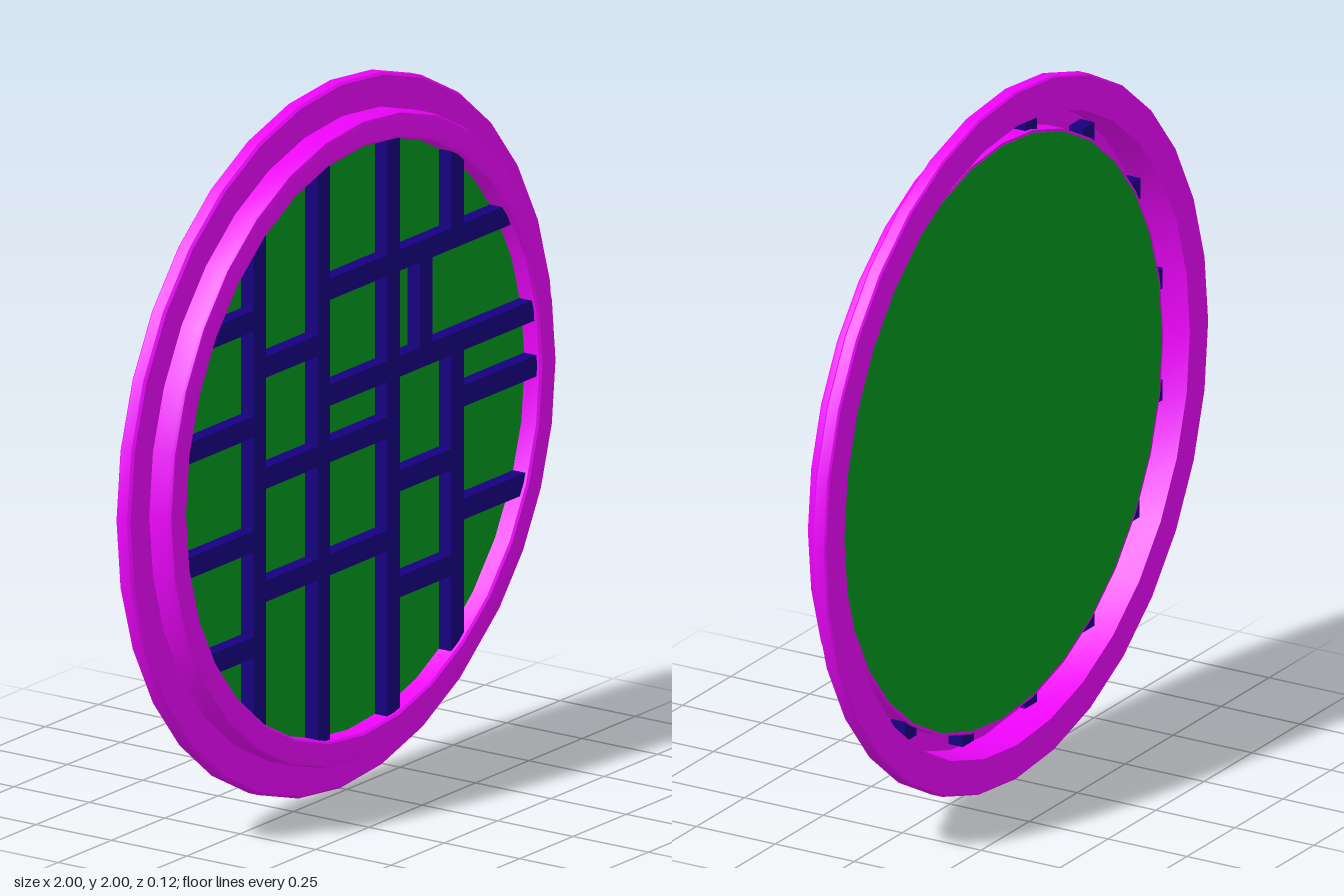
import * as THREE from 'three';
import { toCreasedNormals } from 'three/addons/utils/BufferGeometryUtils.js';

const SIDES = 32;
const BAR = 0.06; // bar width
const REACH = 0.87; // radius at which bars end inside the frame

export function createModel() {
  const group = new THREE.Group();
  const frameMat = new THREE.MeshStandardMaterial({ color: 0xee04fc });
  const paneMat = new THREE.MeshStandardMaterial({ color: 0x009820 });
  const barMat = new THREE.MeshStandardMaterial({ color: 0x160080 });

  const add = (name, geometry, material) => {
    const mesh = new THREE.Mesh(geometry, material);
    mesh.name = name;
    group.add(mesh);
    return mesh;
  };

  // Round frame: wide flange behind, narrower ring in front, hollow at the back
  // with a thin inner sleeve that holds the pane
  const profile = [
    [0.90, -0.06], [0.995, -0.06], [1.0, -0.055], [1.0, -0.022], [0.993, -0.015],
    [0.905, -0.015], [0.905, 0.046], [0.901, 0.055], [0.892, 0.058], [0.836, 0.058],
    [0.83, 0.052], [0.83, -0.012], [0.84, -0.012], [0.84, 0.046], [0.895, 0.046],
    [0.90, -0.06],
  ].map(([r, z]) => new THREE.Vector2(r, z));
  const frame = new THREE.LatheGeometry(profile, SIDES);
  frame.rotateX(Math.PI / 2);
  add('frame', toCreasedNormals(frame, 0.7), frameMat);

  // Round pane
  const pane = new THREE.CylinderGeometry(0.832, 0.832, 0.016, SIDES);
  pane.rotateX(Math.PI / 2);
  add('pane', pane, paneMat).position.z = -0.005;

  // Lattice bars: position across, then start and end (null runs through the sleeve)
  const addBar = (name, at, from, to, vertical) => {
    const edge = Math.sqrt(REACH * REACH - at * at);
    const a = from ?? -edge;
    const b = to ?? edge;
    const size = vertical ? [BAR, b - a] : [b - a, BAR];
    const mesh = add(name, new THREE.BoxGeometry(...size, 0.045), barMat);
    const mid = (a + b) / 2;
    mesh.position.set(vertical ? at : mid, vertical ? mid : at, 0.0215);
  };

  const [x1, x2, x3, x4] = [-0.47, -0.17, 0.157, 0.457];
  const uprights = [
    [x1, null, null], [x2, null, null], [x3, null, null],
    [x4, 0.46, null], [x4, null, 0.16], [0.31, 0.16, 0.46],
  ];
  const rails = [
    [0.46, null, x1], [0.46, x2, null], [0.315, x1, x2],
    [0.16, null, x1], [0.16, x2, null], [0, x1, x3], [0, x4, null],
    [-0.165, null, x1], [-0.165, x3, x4], [-0.32, x1, x3], [-0.32, x4, null],
    [-0.465, null, x1], [-0.465, x3, x4],
  ];
  uprights.forEach((u) => addBar('uprightBar', ...u, true));
  rails.forEach((r) => addBar('crossBar', ...r, false));

  // Stand the frame on the ground
  group.children.forEach((part) => { part.position.y += 1; });
  return group;
}
